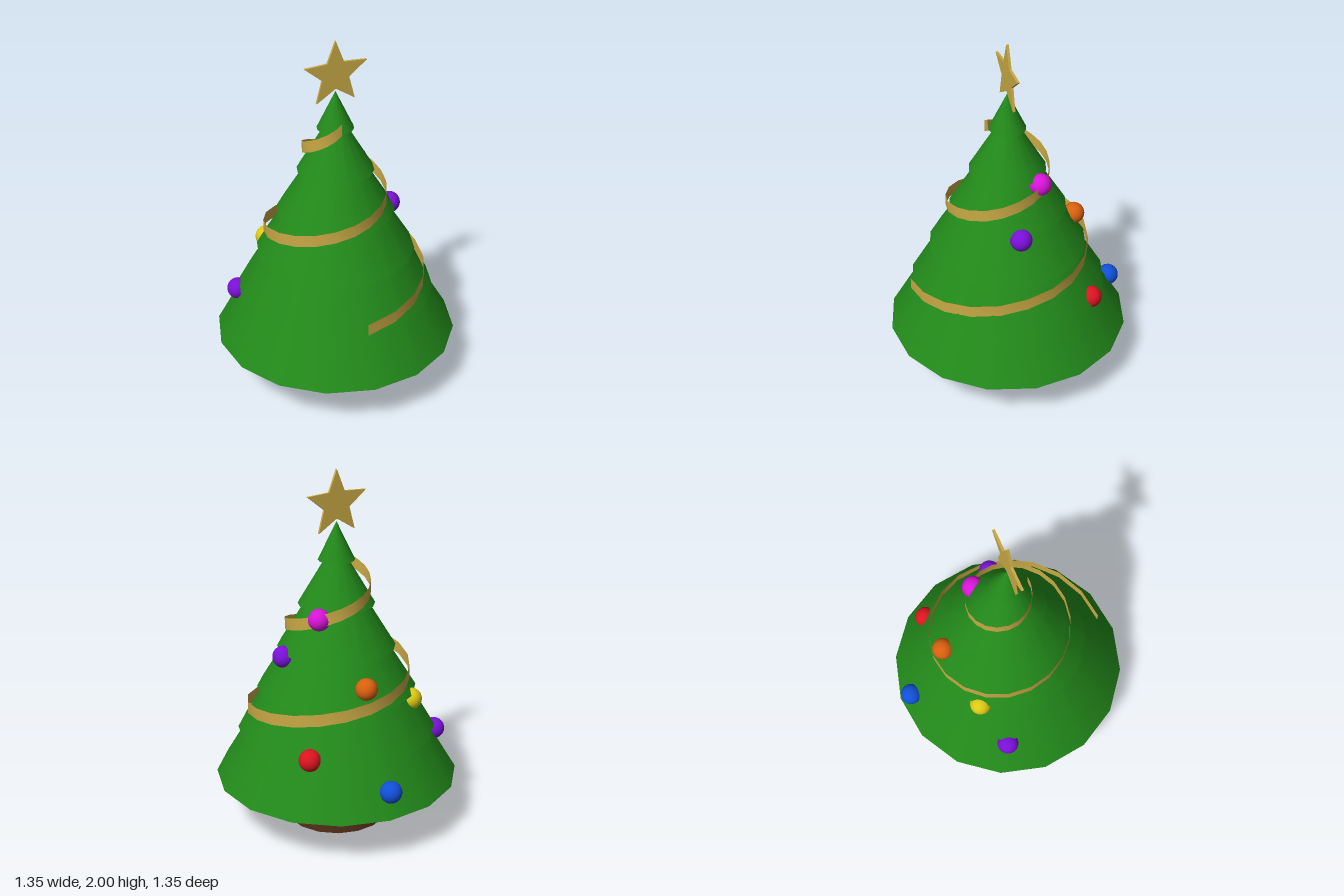
import * as THREE from 'three';

const SIDES = 16;

function part(name, geometry, color, side = THREE.FrontSide) {
  const mesh = new THREE.Mesh(geometry, new THREE.MeshStandardMaterial({ color, side }));
  mesh.name = name;
  return mesh;
}

// Flat vertical band winding twice up the tree, starting at the front towards +x
function ribbonGeometry() {
  const radii = [0.556, 0.478, 0.44, 0.387, 0.33, 0.262, 0.217, 0.17, 0.106]; // one per quarter turn
  const perQuarter = 5;
  const steps = (radii.length - 1) * perQuarter;
  const half = 0.034;
  const positions = [], index = [];
  for (let i = 0; i <= steps; i++) {
    const q = i / perQuarter;
    const k = Math.min(Math.floor(q), radii.length - 2);
    const r = THREE.MathUtils.lerp(radii[k], radii[k + 1], q - k);
    const a = q * Math.PI / 2;
    const y = THREE.MathUtils.lerp(0.57, 1.54, i / steps);
    const x = r * Math.sin(a), z = r * Math.cos(a);
    positions.push(x, y - half, z, x, y + half, z);
    if (i < steps) {
      const b = i * 2;
      index.push(b, b + 2, b + 1, b + 1, b + 2, b + 3);
    }
  }
  const g = new THREE.BufferGeometry();
  g.setAttribute('position', new THREE.Float32BufferAttribute(positions, 3));
  g.setIndex(index);
  g.computeVertexNormals();
  return g;
}

// Five-pointed star plate, centred on its own origin
function starGeometry(outer, inner, depth) {
  const shape = new THREE.Shape();
  for (let i = 0; i < 10; i++) {
    const r = i % 2 ? inner : outer;
    const a = i * Math.PI / 5;
    shape[i ? 'lineTo' : 'moveTo'](-r * Math.sin(a), r * Math.cos(a));
  }
  shape.closePath();
  return new THREE.ExtrudeGeometry(shape, { depth, bevelEnabled: false }).translate(0, 0, -depth / 2);
}

export function createModel() {
  const tree = new THREE.Group();
  tree.name = 'decoratedTree';

  // Flared trunk
  const trunk = part('trunk', new THREE.CylinderGeometry(0.18, 0.285, 0.27, SIDES), 0x4a2814);
  trunk.position.y = 0.135;
  tree.add(trunk);

  // Stacked foliage tiers: [bottom height, bottom radius], each tucked under the next
  const foliage = new THREE.Group();
  foliage.name = 'foliage';
  const tiers = [[0.265, 0.677], [0.535, 0.55], [0.78, 0.44], [1.02, 0.325], [1.265, 0.21], [1.51, 0.1]];
  tiers.forEach(([y, r], i) => {
    const next = tiers[i + 1];
    const top = next ? next[0] : 1.72;
    const topRadius = next ? next[1] - 0.035 : 0;
    const tier = part('foliageTier', new THREE.CylinderGeometry(topRadius, r, top - y, SIDES), 0x22891a);
    tier.position.y = (y + top) / 2;
    foliage.add(tier);
  });
  tree.add(foliage);

  // Garland
  tree.add(part('garland', ribbonGeometry(), 0xcaaa46, THREE.DoubleSide));

  // Star on the tip, turned slightly
  const star = part('star', starGeometry(0.185, 0.08, 0.014), 0xcaaa46);
  star.position.y = 1.815;
  star.rotation.y = THREE.MathUtils.degToRad(5);
  tree.add(star);

  // Baubles: colour and centre
  const baubles = new THREE.Group();
  baubles.name = 'baubles';
  const ball = new THREE.SphereGeometry(0.06, 24, 16);
  [
    [0x7a10d8, 0.315, 1.0, 0],
    [0xd814d8, 0.165, 1.235, -0.14],
    [0xd8600e, 0, 0.9, -0.38],
    [0xdc1420, 0.335, 0.56, -0.395],
    [0xdcc814, -0.325, 0.745, -0.272],
    [0x7a10d8, -0.525, 0.49, -0.18],
    [0x1050d8, -0.035, 0.395, -0.613],
  ].forEach(([color, x, y, z]) => {
    const bauble = part('bauble', ball, color);
    bauble.position.set(x, y, z);
    baubles.add(bauble);
  });
  tree.add(baubles);

  return tree;
}
